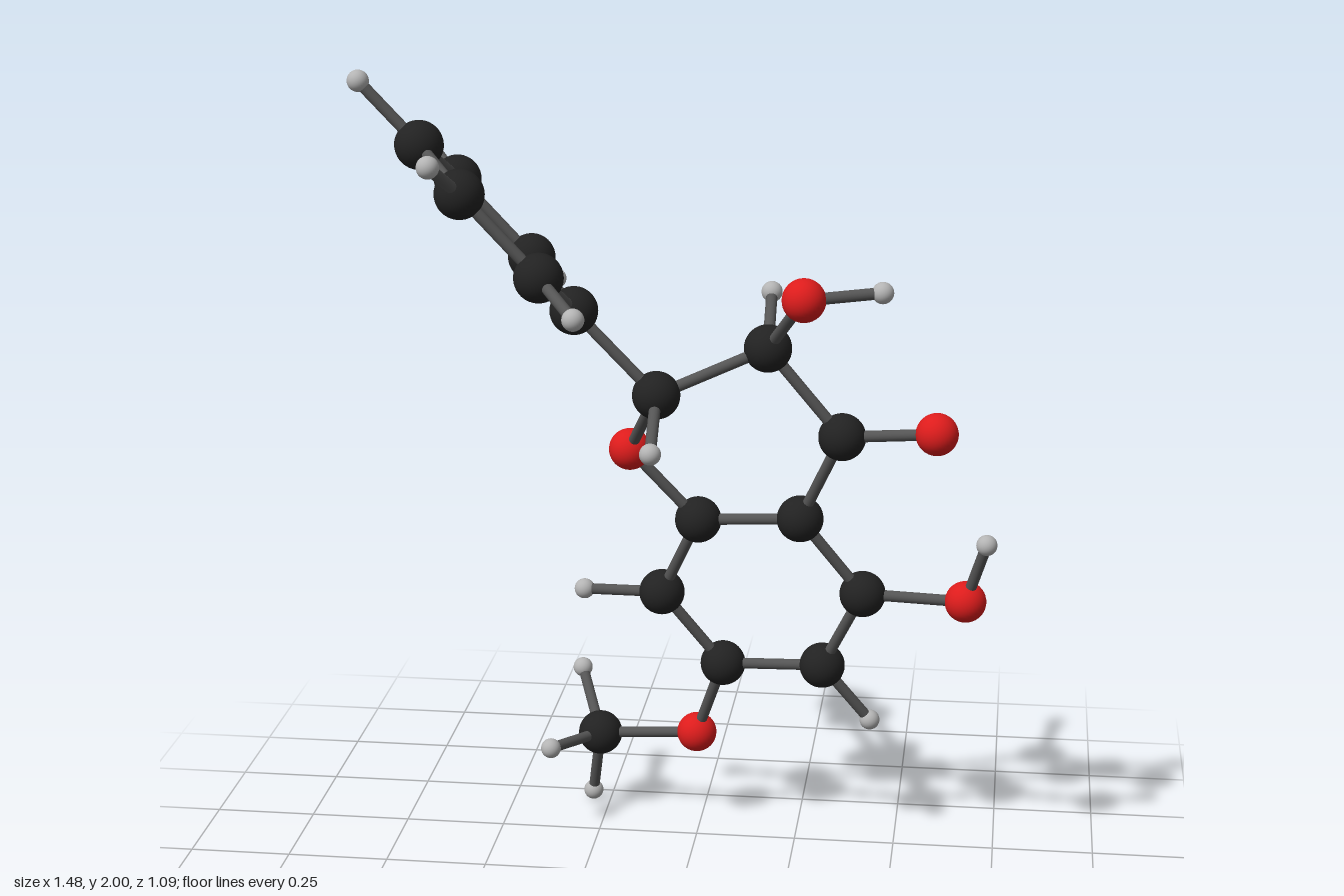
import * as THREE from 'three';

// Atom kinds: radius and colour
const KINDS = {
  carbon: { radius: 0.056, color: 0x222222 },
  oxygen: { radius: 0.05, color: 0xdd1c1c },
  hydrogen: { radius: 0.025, color: 0xb4b4b4 },
};
const BOND_RADIUS = 0.0135;

// Atom centres, grouped by kind
const ATOMS = {
  carbon: {
    // tilted upper ring
    p1: [-0.243, 1.451, 0.108], p2: [-0.285, 1.576, 0.33], p3: [-0.455, 1.762, 0.346],
    p4: [-0.586, 1.832, 0.142], p5: [-0.545, 1.714, -0.081], p6: [-0.375, 1.528, -0.097],
    // middle ring
    c2: [-0.055, 1.253, 0.096], c3: [0.196, 1.353, 0.021], c4: [0.37, 1.141, 0.004],
    c4a: [0.267, 0.908, -0.088], c8a: [0.018, 0.887, -0.119],
    // lower ring
    c5: [0.417, 0.707, -0.137], c6: [0.316, 0.488, -0.219],
    c7: [0.065, 0.469, -0.257], c8: [-0.082, 0.668, -0.207],
    methyl: [-0.265, 0.217, -0.38],
  },
  oxygen: {
    o1: [-0.142, 1.07, -0.08], o3: [0.292, 1.512, 0.204], o4: [0.591, 1.162, 0.029],
    o5: [0.666, 0.708, -0.107], o7: [-0.01, 0.247, -0.339],
  },
  hydrogen: {
    hp2: [-0.183, 1.523, 0.493], hp3: [-0.487, 1.852, 0.518], hp4: [-0.719, 1.976, 0.154],
    hp5: [-0.647, 1.772, -0.242], hp6: [-0.347, 1.438, -0.271],
    h2: [-0.046, 1.163, 0.275], h3: [0.189, 1.448, -0.15], ho3: [0.466, 1.526, 0.169],
    ho5: [0.713, 0.872, -0.047], h6: [0.434, 0.334, -0.257], h8: [-0.279, 0.66, -0.232],
    hm1: [-0.331, 0.342, -0.518], hm2: [-0.366, 0.237, -0.208], hm3: [-0.294, 0.029, -0.443],
  },
};

// Chains of bonded atoms
const CHAINS = [
  'p1 p2 p3 p4 p5 p6 p1', 'p1 c2', 'c2 c3 c4 c4a c8a o1 c2', 'c4a c5 c6 c7 c8 c8a',
  'c3 o3 ho3', 'c4 o4', 'c5 o5 ho5', 'c7 o7 methyl',
  'p2 hp2', 'p3 hp3', 'p4 hp4', 'p5 hp5', 'p6 hp6',
  'c2 h2', 'c3 h3', 'c6 h6', 'c8 h8', 'methyl hm1', 'methyl hm2', 'methyl hm3',
];

export function createModel() {
  const model = new THREE.Group();
  model.name = 'moleculeModel';
  const centres = {};

  // Atoms: one smooth sphere each
  for (const [kind, list] of Object.entries(ATOMS)) {
    const { radius, color } = KINDS[kind];
    const geometry = new THREE.SphereGeometry(radius, 32, 20);
    const material = new THREE.MeshStandardMaterial({ color });
    const group = new THREE.Group();
    group.name = `${kind}Atoms`;
    for (const [id, p] of Object.entries(list)) {
      centres[id] = new THREE.Vector3(...p);
      const atom = new THREE.Mesh(geometry, material);
      atom.name = `${kind}Atom`;
      atom.position.copy(centres[id]);
      group.add(atom);
    }
    model.add(group);
  }

  // Bonds: one rod between each pair of neighbours in a chain
  const bonds = new THREE.Group();
  bonds.name = 'bonds';
  const rod = new THREE.CylinderGeometry(BOND_RADIUS, BOND_RADIUS, 1, 16);
  const rodMaterial = new THREE.MeshStandardMaterial({ color: 0x555555 });
  const up = new THREE.Vector3(0, 1, 0);
  for (const chain of CHAINS) {
    const ids = chain.split(' ');
    for (let i = 1; i < ids.length; i++) {
      const a = centres[ids[i - 1]], b = centres[ids[i]];
      const span = b.clone().sub(a);
      const bond = new THREE.Mesh(rod, rodMaterial);
      bond.name = 'bond';
      bond.position.copy(a).lerp(b, 0.5);
      bond.scale.y = span.length();
      bond.quaternion.setFromUnitVectors(up, span.normalize());
      bonds.add(bond);
    }
  }
  model.add(bonds);
  return model;
}
